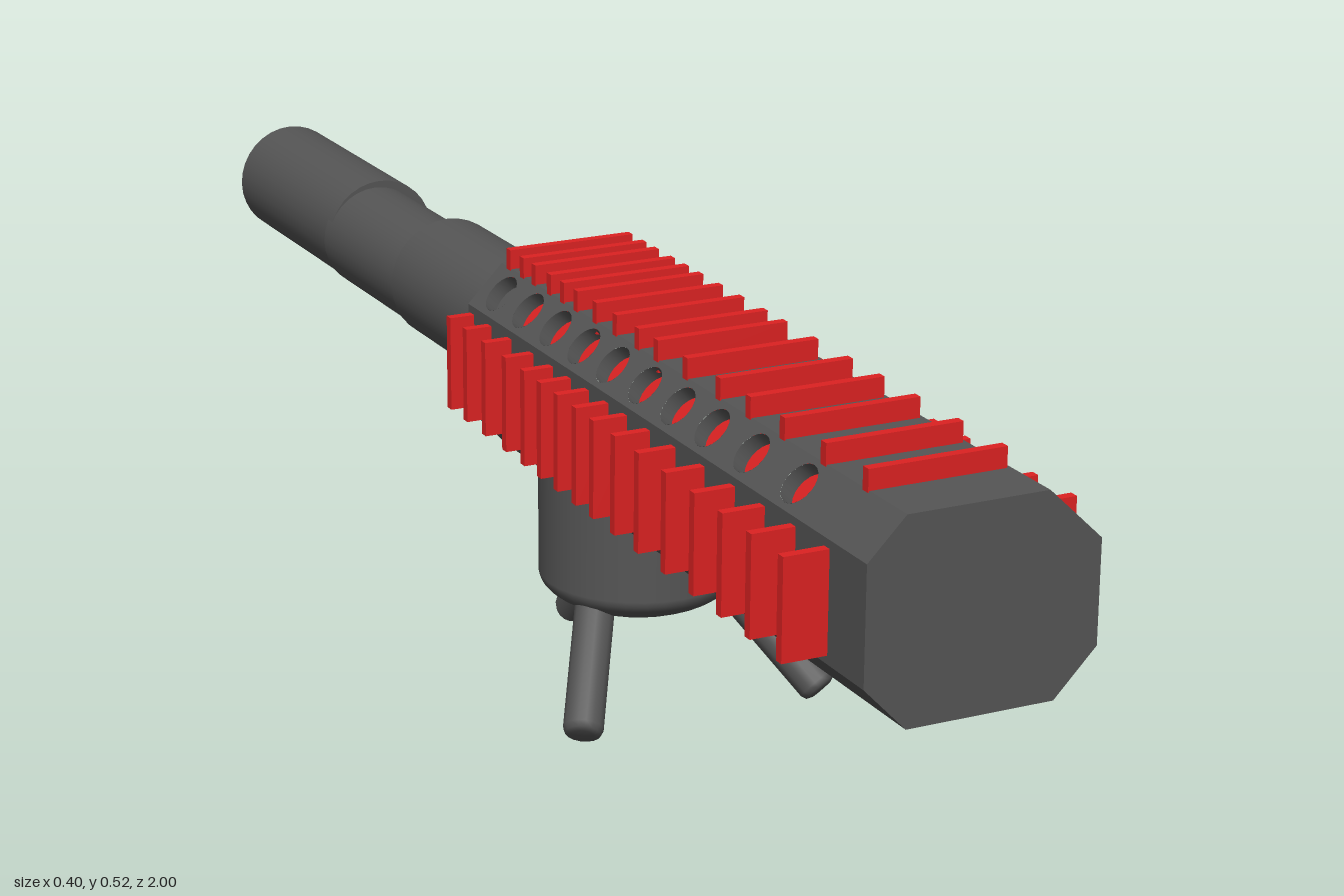
import * as THREE from 'three';

const grey = new THREE.MeshStandardMaterial({ color: 0x555555 });
const greyOpen = new THREE.MeshStandardMaterial({ color: 0x555555, side: THREE.DoubleSide });
const red = new THREE.MeshStandardMaterial({ color: 0xdd2222 });

const FRONT = 1, BACK = -0.02;
// Octagonal receiver section, counter-clockwise seen from the front
const SECTION = [
  [-0.084, 0.25], [0.1, 0.25], [0.153, 0.305], [0.153, 0.43],
  [0.085, 0.495], [-0.09, 0.495], [-0.137, 0.447], [-0.137, 0.305],
];
const OPEN_EDGES = [3, 5]; // upper chamfers, filled by perforated panels

function add(parent, name, geometry, material, x = 0, y = 0, z = 0) {
  const mesh = new THREE.Mesh(geometry, material);
  mesh.name = name;
  mesh.position.set(x, y, z);
  parent.add(mesh);
  return mesh;
}

function receiverGeometry() {
  const v = [];
  const n = SECTION.length;
  const f = i => [...SECTION[i % n], FRONT];
  const b = i => [...SECTION[i % n], BACK];
  for (let i = 0; i < n; i++) {
    if (!OPEN_EDGES.includes(i)) v.push(f(i), b(i), f(i + 1), f(i + 1), b(i), b(i + 1));
    if (i > 0 && i < n - 1) v.push(f(0), f(i), f(i + 1), b(0), b(i + 1), b(i));
  }
  const g = new THREE.BufferGeometry();
  g.setAttribute('position', new THREE.Float32BufferAttribute(v.flat(), 3));
  g.computeVertexNormals();
  return g;
}

// Chamfer panel with round vents; s is the direction of local x along z
function ventPanel(name, low, high, s, holes, r, depth, floorMaterial) {
  const A = new THREE.Vector3(...low, 0), B = new THREE.Vector3(...high, 0);
  const up = B.clone().sub(A);
  const w = up.length();
  up.normalize();
  const out = new THREE.Vector3(up.y, -up.x, 0).multiplyScalar(-s);
  const panel = new THREE.Group();
  panel.name = name;
  panel.quaternion.setFromRotationMatrix(
    new THREE.Matrix4().makeBasis(new THREE.Vector3(0, 0, s), up, out));
  panel.position.copy(A);

  const x0 = Math.min(s * FRONT, s * BACK), x1 = Math.max(s * FRONT, s * BACK);
  const shape = new THREE.Shape();
  shape.moveTo(x0, 0).lineTo(x1, 0).lineTo(x1, w).lineTo(x0, w).closePath();
  for (const z of holes) {
    shape.holes.push(new THREE.Path().absarc(s * z, w / 2, r, 0, Math.PI * 2, true));
  }
  add(panel, 'ventPlate', new THREE.ShapeGeometry(shape, 20), grey);
  holes.forEach((z, i) => {
    const wall = new THREE.CylinderGeometry(r, r, depth, 20, 1, true).rotateX(Math.PI / 2);
    add(panel, 'ventWall', wall, greyOpen, s * z, w / 2, -depth / 2);
    add(panel, 'ventFloor', new THREE.CircleGeometry(r, 20), i ? floorMaterial : grey, s * z, w / 2, -depth);
  });
  return panel;
}

// Round bar with bevelled ends between two points
function bar(parent, name, from, to, r) {
  const a = new THREE.Vector3(...from), b = new THREE.Vector3(...to);
  const L = a.distanceTo(b), c = 0.01;
  const profile = [[0, 0], [r - c, 0], [r - c * 0.3, c * 0.3], [r, c], [r, L - c], [r - c * 0.3, L - c * 0.3], [r - c, L], [0, L]];
  const mesh = add(parent, name, new THREE.LatheGeometry(profile.map(p => new THREE.Vector2(...p)), 16), grey, ...from);
  mesh.quaternion.setFromUnitVectors(new THREE.Vector3(0, 1, 0), b.sub(a).normalize());
}

export function createModel() {
  const model = new THREE.Group();
  model.name = 'turretGun';

  // Receiver, turned very slightly
  const body = new THREE.Group();
  body.name = 'receiver';
  body.rotation.y = -0.008;
  model.add(body);
  add(body, 'receiverShell', receiverGeometry(), grey);
  body.add(ventPanel('leftVents', SECTION[3], SECTION[4], -1,
    [0.05, 0.15, 0.25, 0.36, 0.465, 0.58, 0.705, 0.825], 0.031, 0.04, grey));
  body.add(ventPanel('rightVents', SECTION[6], SECTION[5], 1,
    [0.03, 0.11, 0.19, 0.27, 0.35, 0.435, 0.52, 0.605, 0.7, 0.81], 0.026, 0.02, red));

  // Cooling fins on the top and both sides
  const T = 0.012;
  const fin = (name, x0, x1, y0, y1, z) =>
    add(body, name, new THREE.BoxGeometry(x1 - x0, y1 - y0, T), red, (x0 + x1) / 2, (y0 + y1) / 2, z);
  for (const z of [0.005, 0.045, 0.08, 0.125, 0.163, 0.202, 0.255, 0.31, 0.37, 0.42, 0.495, 0.577, 0.65, 0.73, 0.823, 0.915]) {
    fin('topFin', -0.092, 0.08, 0.48, 0.52, z);
  }
  for (const z of [0.067, 0.13, 0.187, 0.25, 0.315, 0.377, 0.442, 0.51, 0.58, 0.648, 0.715, 0.788, 0.865]) {
    fin('leftFin', 0.135, 0.18 + 0.028 * z, 0.305, 0.427, z);
  }
  for (const z of [-0.008, 0.045, 0.105, 0.17, 0.227, 0.277, 0.327, 0.38, 0.43, 0.49, 0.555, 0.627, 0.7, 0.77, 0.84, 0.915]) {
    fin('rightFin', -0.17 - 0.025 * z, -0.12, 0.315, 0.437, z);
  }

  // Barrel sections: name, radius, x, y, front z, back z
  for (const [name, r, x, y, z1, z0] of [
    ['barrelNeck', 0.059, 0.0, 0.377, 0.0, -0.12],
    ['barrelSleeve', 0.084, -0.001, 0.364, -0.105, -0.39],
    ['barrelMiddle', 0.074, 0.005, 0.352, -0.38, -0.67],
  ]) {
    add(model, name, new THREE.CylinderGeometry(r, r, z1 - z0, 32).rotateX(Math.PI / 2), grey, x, y, (z1 + z0) / 2);
  }

  // Hollow muzzle; separate profile runs keep the rims sharp
  const muzzle = new THREE.Group();
  muzzle.name = 'muzzle';
  muzzle.position.set(0.012, 0.356, -0.655);
  muzzle.rotation.x = -Math.PI / 2;
  model.add(muzzle);
  const R = 0.079, bore = 0.053, len = 0.345, deep = 0.05;
  for (const [name, p, q] of [
    ['muzzleBase', [0, 0], [R, 0]], ['muzzleTube', [R, 0], [R, len]],
    ['muzzleRim', [R, len], [bore, len]], ['muzzleBore', [bore, len], [bore, deep]],
    ['boreFloor', [bore, deep], [0, deep]],
  ]) {
    add(muzzle, name, new THREE.LatheGeometry([new THREE.Vector2(...p), new THREE.Vector2(...q)], 32), greyOpen);
  }

  // Swivel mount with a shallow dome below
  add(model, 'swivelMount', new THREE.CylinderGeometry(0.125, 0.125, 0.155, 32), grey, -0.018, 0.2325, 0.225);
  const dome = new THREE.SphereGeometry(0.125, 32, 10, 0, Math.PI * 2, Math.PI / 2, Math.PI / 2);
  add(model, 'mountDome', dome, grey, -0.018, 0.155, 0.225).scale.y = 0.38;

  // Tripod legs
  bar(model, 'frontRightLeg', [-0.088, 0.15, 0.25], [-0.172, 0.015, 0.382], 0.025);
  bar(model, 'frontLeftLeg', [0.073, 0.155, 0.25], [0.16, 0.015, 0.382], 0.025);
  bar(model, 'rearLeg', [-0.005, 0.145, 0.125], [-0.005, 0.016, 0.003], 0.023);

  return model;
}
